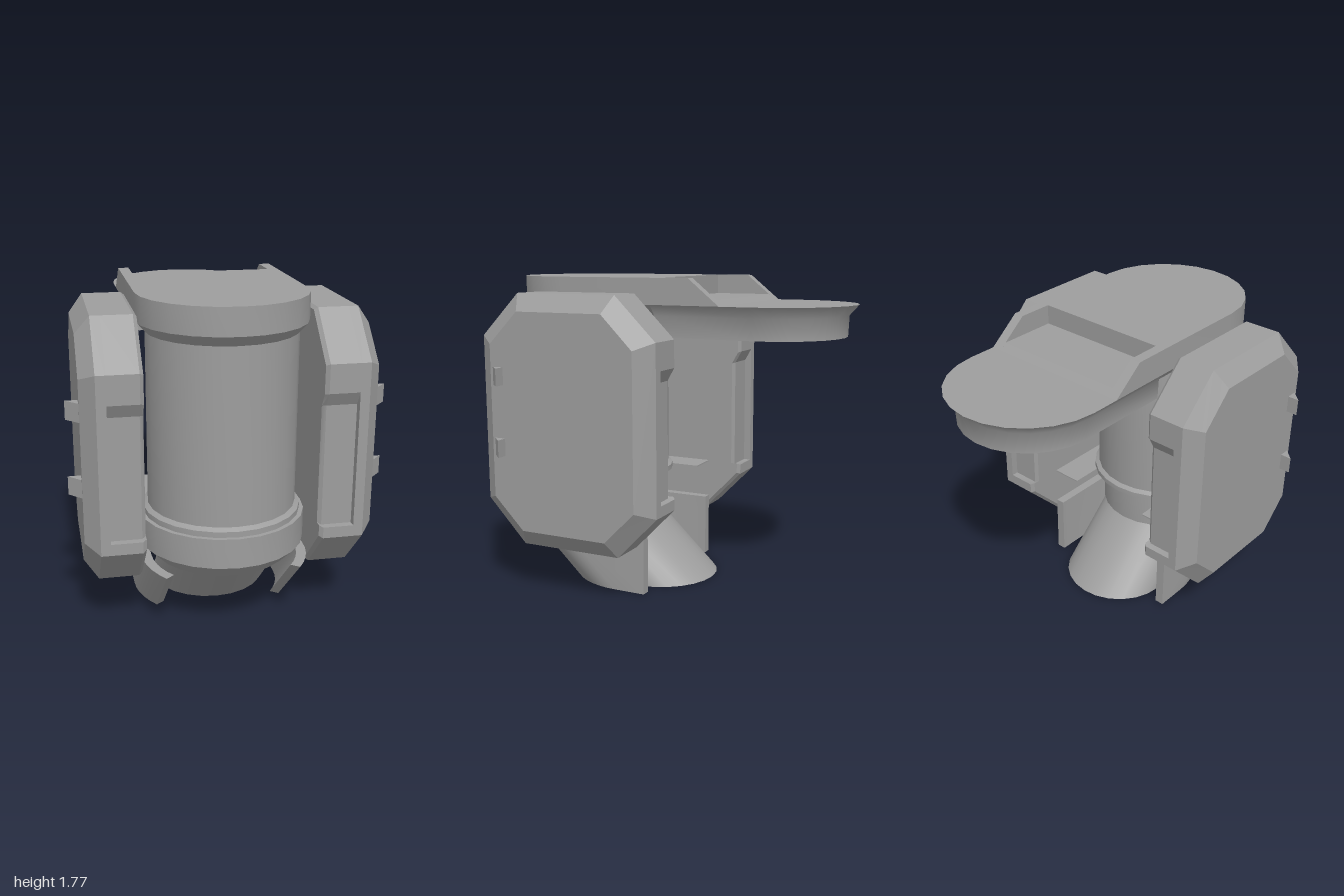
import * as THREE from 'three';
import { toCreasedNormals } from 'three/addons/utils/BufferGeometryUtils.js';

const material = new THREE.MeshStandardMaterial({ color: 0x9d9d9d });
const C = 0.557; // z distance of the round ends from the centre
const R = 0.443; // radius of the round ends

// Closed solid through 2D outlines; place(u, v, i) puts outline i in space.
function loft(outlines, place, crease = 0.45) {
  const rings = outlines.map((o) => o.map((p) => new THREE.Vector2(p[0], p[1])));
  if (THREE.ShapeUtils.isClockWise(rings[0])) rings.forEach((r) => r.reverse());
  const pts = rings.map((r, i) => r.map((p) => new THREE.Vector3(...place(p.x, p.y, i))));
  const tris = [];
  const n = pts[0].length, last = pts.length - 1;
  for (let i = 0; i < last; i++) {
    for (let j = 0; j < n; j++) {
      const k = (j + 1) % n;
      tris.push([pts[i][j], pts[i][k], pts[i + 1][k]], [pts[i][j], pts[i + 1][k], pts[i + 1][j]]);
    }
  }
  for (const [a, b, c] of THREE.ShapeUtils.triangulateShape(rings[0], [])) tris.push([pts[0][c], pts[0][b], pts[0][a]]);
  for (const [a, b, c] of THREE.ShapeUtils.triangulateShape(rings[last], [])) tris.push([pts[last][a], pts[last][b], pts[last][c]]);
  // turn every face outward
  let volume = 0;
  for (const [a, b, c] of tris) volume += a.dot(b.clone().cross(c));
  if (volume < 0) tris.forEach((t) => t.reverse());
  const geometry = new THREE.BufferGeometry().setFromPoints(tris.flat());
  return toCreasedNormals(geometry, crease);
}

// Arc in (x, z) around (0, zc), starting on the x axis; dir -1 turns it to the back
function arc(r, dir, zc, sweep = Math.PI, steps = 12) {
  const out = [];
  for (let i = 0; i <= steps; i++) {
    const a = (i / steps) * sweep;
    out.push([dir * r * Math.cos(a), zc + dir * r * Math.sin(a)]);
  }
  return out;
}
const circle = (r) => [...arc(r, 1, 0).slice(0, -1), ...arc(r, -1, 0).slice(0, -1)];
// Round end with straight sides back to flatZ
const dShape = (r, dir, flatZ = dir * C) => {
  const end = arc(r, dir, dir * C);
  return flatZ === dir * C ? end : [...end, [-dir * r, flatZ], [dir * r, flatZ]];
};

// Horizontal outlines stacked at the given heights
const stack = (outlines, ys, crease) => loft(outlines, (x, z, i) => [x, ys[i], z], crease);
// (z, y) profile running from x0 to x1
const slab = (profile, x0, x1) => loft([profile, profile], (z, y, i) => [i ? x1 : x0, y, z]);

export function createModel() {
  const model = new THREE.Group();
  const add = (name, geometry, parent = model) => {
    const mesh = new THREE.Mesh(geometry, material);
    mesh.name = name;
    parent.add(mesh);
  };

  // Central canister with its stepped collar
  const steps = [[0.37, 0.36], [0.6, 0.36], [0.6, 0.42], [0.63, 0.42], [0.645, 0.395], [1.6, 0.395]];
  add('canister', loft(steps.map((s) => circle(s[1])), (x, z, i) => [x, steps[i][0], z + C]));

  // Half ring around the front of the base
  add('baseRing', stack([dShape(0.37, 1), dShape(R, 1), dShape(R, 1)], [0.365, 0.44, 0.6]));

  // Slanted outlet tube
  add('outletTube', loft([circle(0.325), circle(0.325)], (x, z, i) => [x, i * 0.42, z + 0.15 + i * 0.45]));

  // Lid: flared front rim, softly flared rear and raised front
  add('lidRim', stack([dShape(0.39, 1, 0), dShape(R, 1, 0)], [1.565, 1.625]));
  add('lidRear', stack([0.385, 0.39, R].map((r) => dShape(r, -1, 0)), [1.45, 1.565, 1.625], 1));
  add('lidTop', stack([dShape(R, 1, -0.03), dShape(R, 1, -0.03)], [1.625, 1.767]));

  // Sloped back of the lid with its open pocket
  add('pocketFloor', slab([[-0.03, 1.625], [-0.03, 1.657], [-0.36, 1.657], [-0.4, 1.625]], -0.385, 0.385));

  // Side pod outlines in (z, y): plain, with notches front and back, and outer face
  const plain = [[0.915, 0.525], [0.915, 1.45], [0.68, 1.685], [0.08, 1.685],
    [-0.157, 1.45], [-0.157, 0.525], [0.08, 0.282], [0.68, 0.282]];
  const notched = [[0.915, 0.525], [0.915, 0.585], [0.875, 0.585], [0.875, 1.23], [0.915, 1.3], [0.915, 1.45],
    [0.68, 1.685], [0.08, 1.685], [-0.157, 1.45], [-0.157, 1.3], [-0.117, 1.23], [-0.117, 0.585],
    [-0.157, 0.585], [-0.157, 0.525], [0.08, 0.282], [0.68, 0.282]];
  const face = [[0.82, 0.56], [0.82, 1.41], [0.64, 1.59], [0.12, 1.59],
    [-0.06, 1.41], [-0.06, 0.56], [0.12, 0.38], [0.64, 0.38]];
  const shrunk = notched.map(([z, y]) => [0.38 + (z - 0.38) * 0.97, 0.983 + (y - 0.983) * 0.98]);

  // Fin outline in (x, z) at height y: straight side ending in an arc that leans forward
  const finOutline = (y) => {
    const zc = 0.24 + y * 1.08;
    return [[R, 0.05], ...arc(R, 1, zc, 0.66, 5), ...arc(0.39, 1, zc, 0.66, 5).reverse(), [0.39, 0.05]];
  };

  for (const s of [1, -1]) {
    const side = s > 0 ? 'left' : 'right';
    add(side + 'PocketRail', slab([[-0.03, 1.625], [-0.03, 1.767], [-0.225, 1.767], [-0.4, 1.625]], s * 0.385, s * R));

    // Pod: notched inner half and bevelled outer half
    const pod = new THREE.Group();
    pod.name = side + 'Pod';
    model.add(pod);
    const innerX = [0.446, 0.465, 0.625], outerX = [0.625, 0.675, 0.75];
    add('podInner', loft([shrunk, notched, notched], (z, y, i) => [s * innerX[i], y, z]), pod);
    add('podOuter', loft([plain, plain, face], (z, y, i) => [s * outerX[i], y, z]), pod);

    // Wedge lugs on the outer face
    const wedge = [[0.745, 0.74], [0.815, 0.74], [0.745, 0.81]];
    for (const y of [0.797, 1.19]) {
      add('lug', loft([wedge, wedge], (x, z, i) => [s * x, y + i * 0.097, z]), pod);
    }

    // Fin hugging the outlet tube and flat bracket above it
    add(side + 'Fin', loft([finOutline(0), finOutline(0.37)], (x, z, i) => [s * x, i * 0.37, z]));
    const bracket = new THREE.BoxGeometry(0.18, 0.008, 0.51);
    bracket.translate(s * 0.352, 0.595, 0.305);
    add(side + 'Bracket', bracket);
  }
  return model;
}
